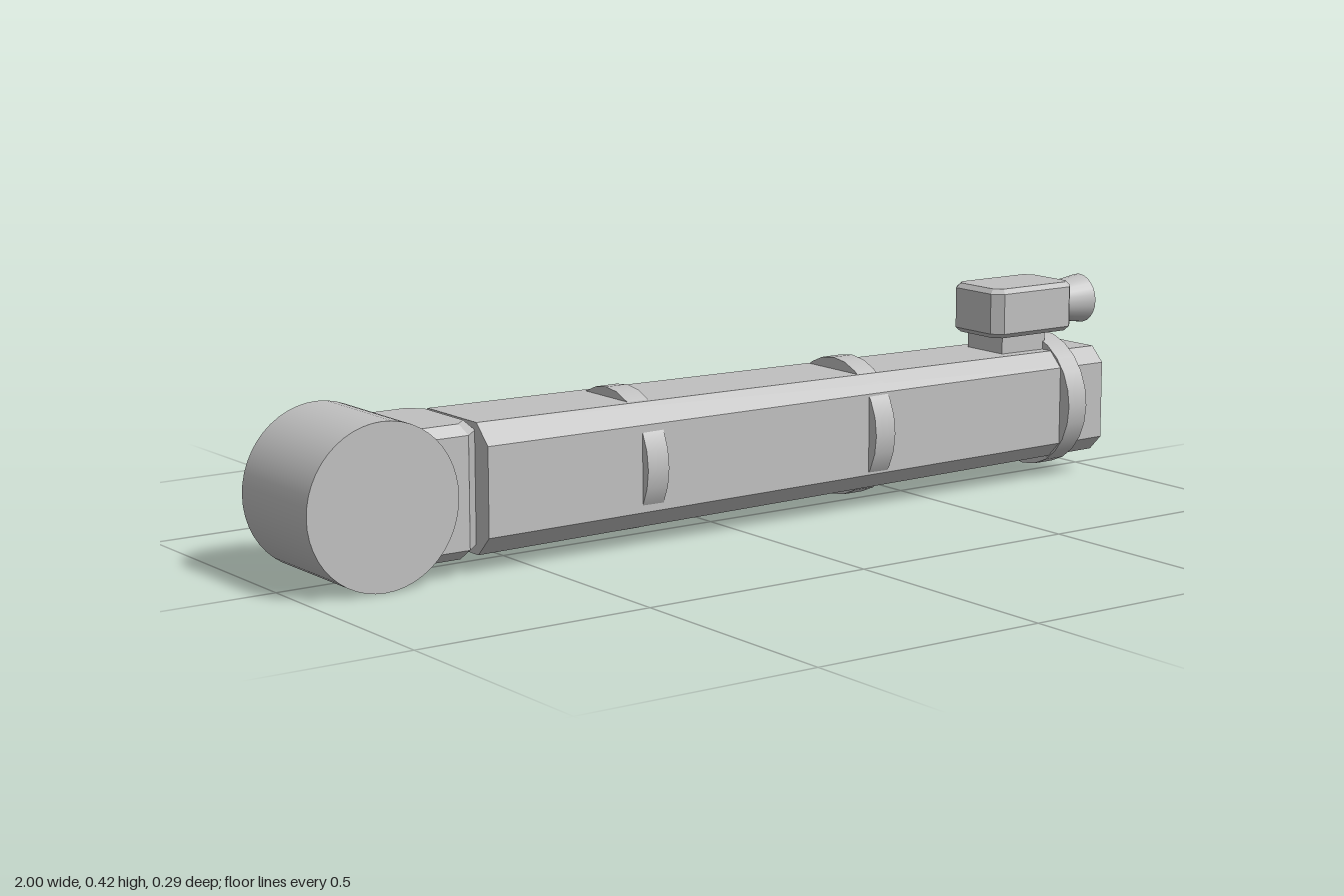
import * as THREE from 'three';
import { ConvexGeometry } from 'three/addons/geometries/ConvexGeometry.js';

const AXIS_Y = 0.163; // height of the boom's centre line

// Corners of a rectangle (half sizes a, b) with its corners cut by c
function octagon(a, b, c) {
  const pts = [];
  for (const s of [-1, 1]) for (const t of [-1, 1]) {
    pts.push([s * a, t * (b - c)], [s * (a - c), t * b]);
  }
  return pts;
}

// Upright block with cut vertical edges and bevelled top and bottom rims
function cutBlock(hx, hy, hz, cut, bevel) {
  const pts = [];
  const cap = (inset, y) => octagon(hx - inset, hz - inset, cut - inset * 0.5)
    .forEach(([x, z]) => pts.push(new THREE.Vector3(x, y, z)));
  for (const s of [-1, 1]) {
    cap(0, s * (hy - bevel));
    cap(bevel, s * hy);
  }
  return new ConvexGeometry(pts);
}

export function createModel() {
  const model = new THREE.Group();
  model.name = 'boomArm';
  const grey = new THREE.MeshStandardMaterial({ color: 0xc0c0c0 });
  grey.name = 'grey';

  const add = (name, geometry, x, y, z = 0) => {
    const mesh = new THREE.Mesh(geometry, grey);
    mesh.name = name;
    mesh.position.set(x, y, z);
    model.add(mesh);
    return mesh;
  };

  // Pivot drum, lying across the arm
  const drum = new THREE.CylinderGeometry(0.163, 0.163, 0.248, 48).rotateX(Math.PI / 2);
  add('pivotDrum', drum, -0.837, AXIS_Y);

  // Block joining drum and boom
  add('jointBlock', cutBlock(0.12, 0.131, 0.117, 0.037, 0.02), -0.73, 0.165);

  // Tapering eight-sided boom
  const boom = [];
  octagon(0.129, 0.129, 0.04).forEach(([y, z]) => boom.push(new THREE.Vector3(-0.612, y, z)));
  octagon(0.114, 0.114, 0.032).forEach(([y, z]) => boom.push(new THREE.Vector3(0.967, y, z)));
  add('boom', new ConvexGeometry(boom), 0, AXIS_Y);

  // Round bands, half sunk into the boom
  for (const x of [-0.23, 0.34, 0.87]) {
    const band = new THREE.CylinderGeometry(0.145, 0.145, 0.05, 24).rotateZ(Math.PI / 2);
    add('band', band, x, AXIS_Y);
  }

  // Camera on its mount
  add('cameraMount', new THREE.BoxGeometry(0.12, 0.07, 0.112), 0.79, 0.295);
  add('cameraBody', cutBlock(0.113, 0.053, 0.078, 0.021, 0.01), 0.808, 0.369);
  const lens = new THREE.CylinderGeometry(0.04, 0.053, 0.09, 24).rotateZ(Math.PI / 2);
  add('cameraLens', lens, 0.955, 0.369);

  return model;
}
